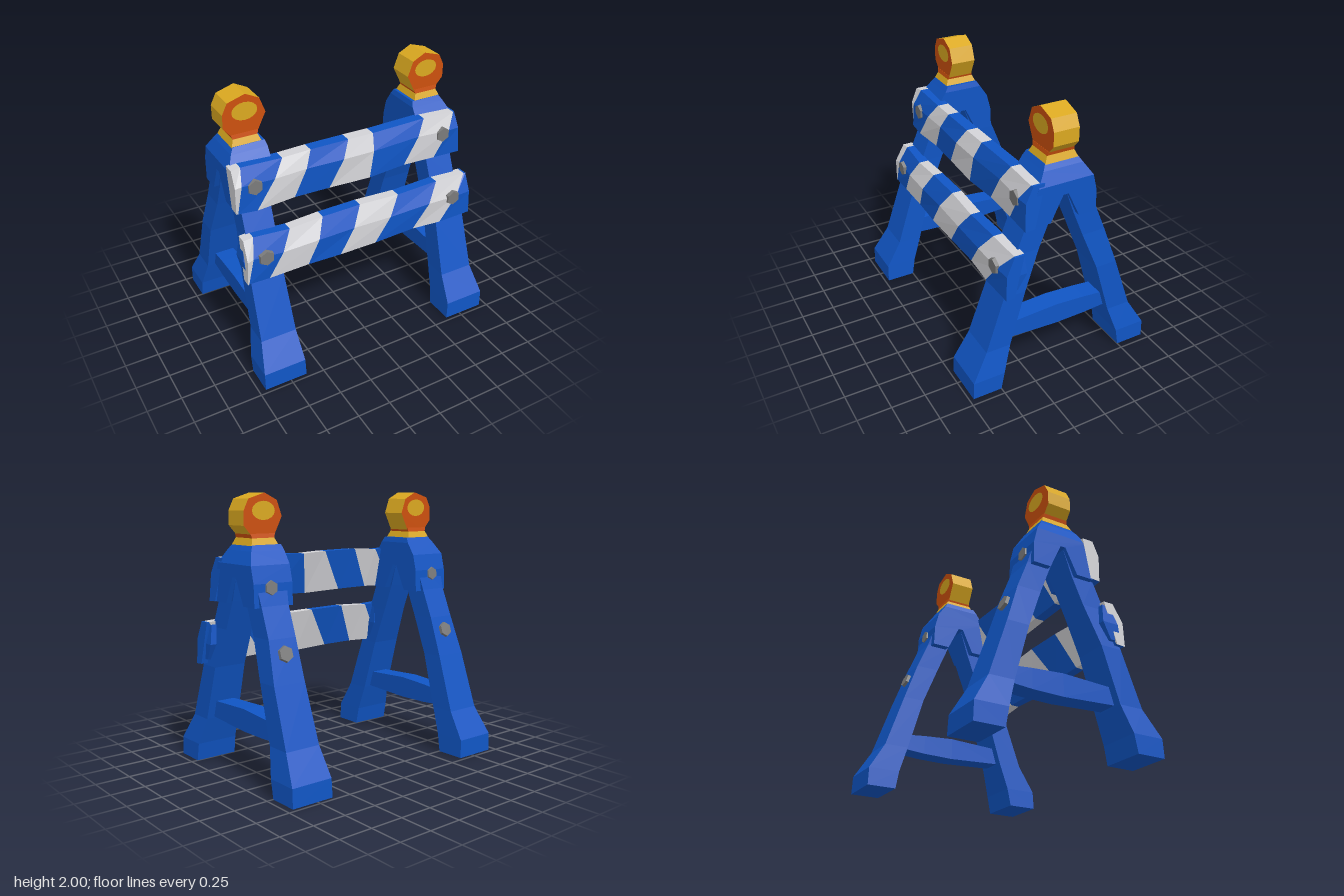
import * as THREE from 'three';

const makeMat = (name, color) => {
  const m = new THREE.MeshStandardMaterial({ color });
  m.name = name;
  return m;
};

// Skin a list of equal-sized point rings with flat facets; ends are capped on request
function loft(rings, capStart = true, capEnd = true) {
  const n = rings[0].length, tris = [];
  for (let i = 0; i < rings.length - 1; i++) {
    for (let j = 0; j < n; j++) {
      const k = (j + 1) % n, a = rings[i], b = rings[i + 1];
      tris.push([a[j], a[k], b[k]], [a[j], b[k], b[j]]);
    }
  }
  const last = rings[rings.length - 1];
  for (let j = 1; j < n - 1; j++) {
    if (capStart) tris.push([rings[0][0], rings[0][j + 1], rings[0][j]]);
    if (capEnd) tris.push([last[0], last[j], last[j + 1]]);
  }
  // Turn the facets outward using the signed volume about the middle
  const mid = new THREE.Vector3();
  rings.flat().forEach(p => mid.add(p));
  mid.divideScalar(n * rings.length);
  let volume = 0;
  for (const [a, b, c] of tris) {
    volume += a.clone().sub(mid).dot(b.clone().sub(mid).cross(c.clone().sub(mid)));
  }
  const pts = tris.flatMap(([a, b, c]) => (volume < 0 ? [a, c, b] : [a, b, c]));
  const g = new THREE.BufferGeometry().setFromPoints(pts);
  g.computeVertexNormals();
  return g;
}

// Rectangular ring at height y
const rectY = (y, x0, x1, z0, z1) => [[x0, z0], [x1, z0], [x1, z1], [x0, z1]]
  .map(([x, z]) => new THREE.Vector3(x, y, z));

export function createModel() {
  const group = new THREE.Group();
  const blue = makeMat('blue paint', 0x1055c4);
  const white = makeMat('white stripe', 0xd2d2d6);
  const grey = makeMat('grey bolt', 0x7a7a7a);
  const orange = makeMat('orange lamp', 0xcc500e);
  const yellow = makeMat('yellow lamp', 0xdaa820);

  const add = (name, geometry, material, parent = group) => {
    const m = new THREE.Mesh(geometry, material);
    m.name = name;
    parent.add(m);
    return m;
  };
  const addBolt = (name, x, y, z, tilt, r, depth) => {
    const m = add(name, new THREE.CylinderGeometry(r * 0.9, r, depth, 6).toNonIndexed(), grey);
    m.geometry.computeVertexNormals();
    m.position.set(x, y, z);
    m.rotation.x = tilt;
  };

  // Leg sections: y, inner z, outer z, inner x, outer x
  const legSections = [
    [0.005, 0.50, 0.72, 0.625, 0.95],
    [0.14, 0.475, 0.715, 0.63, 0.95],
    [0.34, 0.41, 0.595, 0.64, 0.91],
    [0.75, 0.29, 0.455, 0.65, 0.90],
    [1.04, 0.175, 0.355, 0.65, 0.87],
    [1.25, 0.09, 0.27, 0.645, 0.865],
    [1.48, 0.0, 0.20, 0.62, 0.88],
  ];
  // Saddle profile joining the two legs: z, y
  const saddleHalf = [[0.21, 1.52], [0.24, 1.4], [0.245, 1.24], [0.11, 1.24], [0.02, 1.43]];
  const saddleShape = new THREE.Shape([
    ...saddleHalf, ...saddleHalf.slice().reverse().map(([z, y]) => [-z, y]),
  ].map(p => new THREE.Vector2(...p)));
  // Lamp outline on the +x side
  const lampOutline = [[0.64, 1.7], [0.81, 1.7], [0.88, 1.78], [0.88, 1.88], [0.84, 1.96],
    [0.71, 2.0], [0.61, 1.95], [0.57, 1.84]];

  for (const s of [1, -1]) {
    const side = s > 0 ? 'left' : 'right';

    // Front and back legs
    for (const d of [1, -1]) {
      const rings = legSections.map(([y, zi, zo, xi, xo]) => rectY(y, s * xi, s * xo, d * zi, d * zo));
      add(`${side}${d > 0 ? 'Front' : 'Back'}Leg`, loft(rings), blue);
    }

    // Saddle and tapered top
    const saddle = new THREE.ExtrudeGeometry(saddleShape, { depth: 0.315, bevelEnabled: false });
    saddle.rotateY(Math.PI / 2);
    saddle.translate(s > 0 ? 0.59 : -0.905, 0, 0);
    add(`${side}Saddle`, saddle, blue);
    add(`${side}SaddleTop`, loft([
      rectY(1.52, s * 0.59, s * 0.905, -0.21, 0.21),
      rectY(1.61, s * 0.59, s * 0.86, -0.15, 0.15),
      rectY(1.65, s * 0.60, s * 0.835, -0.125, 0.125),
    ]), blue);

    // Crossbar between the legs, a little thicker in the middle
    const bar = [[-0.44, 0.35, 0.46], [-0.24, 0.335, 0.48], [0, 0.33, 0.495], [0.4, 0.35, 0.475], [0.46, 0.35, 0.46]];
    add(`${side}Crossbar`, loft(bar.map(([z, y0, y1]) => [[0.7, y0], [0.85, y0], [0.85, y1], [0.7, y1]]
      .map(([x, y]) => new THREE.Vector3(s * x, y, z)))), blue);

    // Mount behind the lower plank
    add(`${side}PlankMount`, loft([
      rectY(0.8, s * 0.65, s * 0.92, 0.36, 0.44),
      rectY(0.92, s * 0.64, s * 0.93, 0.295, 0.42),
      rectY(1.06, s * 0.65, s * 0.91, 0.31, 0.37),
    ]), blue);

    // Lamp: neck, collar, head and lens on both faces
    const lamp = new THREE.Group();
    lamp.name = `${side}Lamp`;
    group.add(lamp);
    add('lampNeck', loft([
      rectY(1.645, s * 0.62, s * 0.84, -0.125, 0.125),
      rectY(1.695, s * 0.64, s * 0.82, -0.103, 0.103),
    ]), yellow, lamp);
    add('lampCollar', loft([
      rectY(1.695, s * 0.64, s * 0.82, -0.103, 0.103),
      rectY(1.725, s * 0.63, s * 0.83, -0.097, 0.097),
    ]), orange, lamp);
    const outline = new THREE.Shape(lampOutline.map(([x, y]) => new THREE.Vector2(s * x, y)));
    const head = new THREE.ExtrudeGeometry(outline, { depth: 0.19, bevelEnabled: false });
    head.translate(0, 0, -0.095);
    add('lampHead', head, [orange, yellow], lamp);
    for (const d of [1, -1]) {
      const lens = add('lampLens', new THREE.CircleGeometry(1, 16), yellow, lamp);
      lens.scale.set(0.093, 0.065, 1);
      lens.position.set(s * 0.722, 1.88, d * 0.098);
      lens.rotation.y = d > 0 ? 0 : Math.PI;
    }

    // Bolts on the planks and the back legs
    addBolt('upperPlankBolt', s * 0.765, 1.415, 0.302, Math.PI / 2, 0.062, 0.025);
    addBolt('lowerPlankBolt', s * 0.78, 0.945, 0.468, Math.PI / 2, 0.062, 0.025);
    addBolt('saddleBolt', s * 0.765, 1.37, -0.242, -Math.PI / 2 + 0.1, 0.055, 0.02);
    addBolt('backLegBolt', s * 0.765, 0.94, -0.392, -Math.PI / 2 + 0.33, 0.062, 0.04);
  }

  // Striped planks: cross-section (z, y) and stripe borders (bottom x, top x)
  const planks = [
    {
      name: 'upperPlank',
      section: [[0.23, 1.245], [0.305, 1.24], [0.302, 1.44], [0.25, 1.555], [0.165, 1.555]],
      borders: [[-0.91, -0.91], [-0.9, -0.84], [-0.76, -0.53], [-0.47, -0.32], [-0.2, -0.02],
        [0.13, 0.19], [0.43, 0.62], [0.7, 0.885], [0.92, 0.9]],
    },
    {
      name: 'lowerPlank',
      section: [[0.4, 0.77], [0.465, 0.765], [0.465, 0.95], [0.4, 1.085], [0.325, 1.085]],
      borders: [[-0.93, -0.915], [-0.92, -0.84], [-0.76, -0.57], [-0.46, -0.31], [-0.2, 0],
        [0.1, 0.32], [0.43, 0.66], [0.67, 0.925], [0.95, 0.94]],
    },
  ];
  for (const { name, section, borders } of planks) {
    const plank = new THREE.Group();
    plank.name = name;
    group.add(plank);
    const y0 = section[1][1], y1 = section[3][1];
    const rings = borders.map(([xb, xt], i) => section.map(([z, y]) => new THREE.Vector3(
      THREE.MathUtils.lerp(xb, xt, (y - y0) / (y1 - y0)),
      y + 0.008 * Math.sin(i * 2.3),
      z + 0.007 * Math.sin(i * 1.9 + y * 9),
    )));
    for (let i = 0; i < rings.length - 1; i++) {
      const g = loft([rings[i], rings[i + 1]], i === 0, i === rings.length - 2);
      add(i % 2 ? 'blueStripe' : 'whiteStripe', g, i % 2 ? blue : white, plank);
    }
  }
  return group;
}
